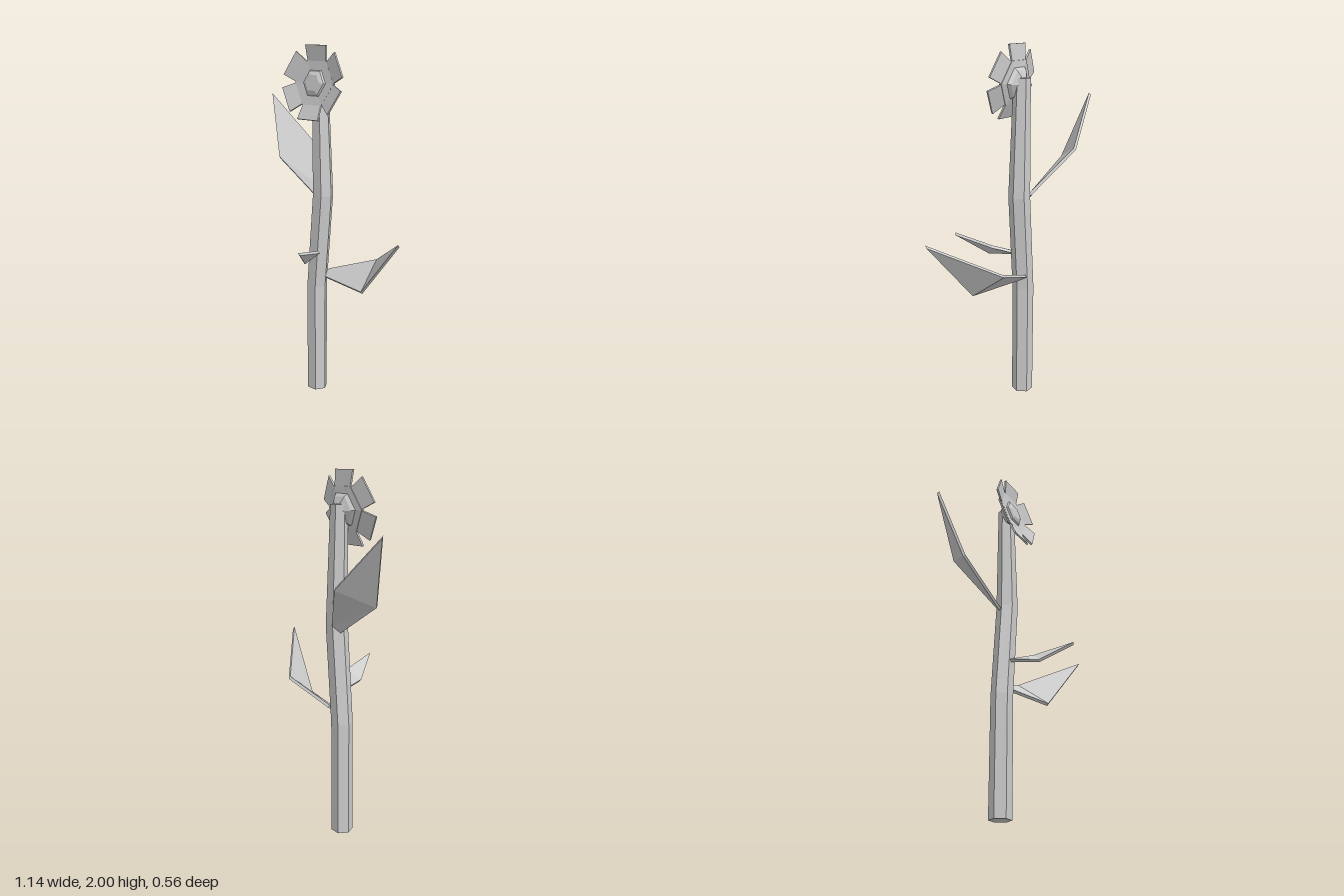
import * as THREE from 'three';

const material = new THREE.MeshStandardMaterial({ color: 0xcccccc, flatShading: true });

function addMesh(parent, name, geometry) {
  const mesh = new THREE.Mesh(geometry, material);
  mesh.name = name;
  parent.add(mesh);
  return mesh;
}

// Non-indexed geometry from triangles of Vector3 points
function fromTriangles(points) {
  const geometry = new THREE.BufferGeometry().setFromPoints(points);
  geometry.computeVertexNormals();
  return geometry;
}

// Thin solid: an outline (anticlockwise from its top side), its top triangles and an offset to the underside
function slab(outline, faces, offset) {
  const under = outline.map((p) => p.clone().add(offset));
  const points = [];
  for (const [a, b, c] of faces) {
    points.push(outline[a], outline[b], outline[c], under[a], under[c], under[b]);
  }
  outline.forEach((p, i) => {
    const j = (i + 1) % outline.length;
    points.push(p, under[i], under[j], p, under[j], outline[j]);
  });
  return fromTriangles(points);
}

// Bent six-sided stem: every ring is [height, centre x, radius]
function stemGeometry() {
  const rings = [[0, -0.1, 0.06], [0.65, -0.1, 0.06], [1.19, -0.055, 0.06], [1.83, -0.075, 0.046]];
  const geometry = new THREE.CylinderGeometry(1, 1, 3, 6, 3, false, Math.PI / 2);
  const pos = geometry.attributes.position;
  for (let i = 0; i < pos.count; i++) {
    const [y, cx, r] = rings[Math.round(pos.getY(i) + 1.5)];
    pos.setXYZ(i, cx + pos.getX(i) * r, y, -0.073 + pos.getZ(i) * r);
  }
  geometry.computeVertexNormals();
  return geometry;
}

// Leaf folded across its widest line: base pair, two side corners and a tip
function leafGeometry(baseA, sideA, tip, sideB, baseB) {
  const outline = [baseA, sideA, tip, sideB, baseB].map((p) => new THREE.Vector3(...p));
  const normal = outline[1].clone().sub(outline[0]).cross(outline[3].clone().sub(outline[0])).normalize();
  return slab(outline, [[0, 1, 3], [0, 3, 4], [1, 2, 3]], normal.multiplyScalar(-0.016));
}

// Flower head built facing +z, then tipped slightly upwards
function createFlower() {
  const flower = new THREE.Group();
  flower.name = 'flower';

  // Calyx, disc and raised centre in one six-sided profile
  const profile = [
    [0, -0.055], [0.045, -0.055], [0.08, -0.035], [0.095, -0.018], [0.135, -0.01],
    [0.135, 0.004], [0.078, 0], [0.072, 0.01], [0.048, 0.02], [0, 0.02],
  ].map(([r, y]) => new THREE.Vector2(r, y));
  const head = addMesh(flower, 'flowerHead', new THREE.LatheGeometry(profile, 6, Math.PI / 2));
  head.rotation.x = Math.PI / 2;

  // Petals flare outwards and a little forwards from each side of the disc
  const petal = slab(
    [[-0.063, 0.112, 0.002], [0.063, 0.112, 0.002], [0.073, 0.197, 0.027], [-0.073, 0.197, 0.027]]
      .map((p) => new THREE.Vector3(...p)),
    [[0, 1, 2], [0, 2, 3]],
    new THREE.Vector3(0, 0.002, -0.01),
  );
  for (let i = 0; i < 6; i++) {
    addMesh(flower, 'petal', petal).rotation.z = (i * Math.PI) / 3;
  }

  flower.position.set(-0.075, 1.805, -0.025);
  flower.rotation.x = THREE.MathUtils.degToRad(-10);
  return flower;
}

export function createModel() {
  const model = new THREE.Group();
  model.name = 'flowerPlant';
  addMesh(model, 'stem', stemGeometry());
  model.add(createFlower());

  addMesh(model, 'upperLeaf', leafGeometry(
    [-0.08, 1.21, -0.12], [-0.297, 1.445, -0.27], [-0.57, 1.715, -0.205],
    [-0.43, 1.36, -0.113], [-0.105, 1.17, -0.08],
  ));
  addMesh(model, 'lowerLeaf', leafGeometry(
    [-0.05, 0.715, -0.07], [0.283, 0.715, 0.005], [0.565, 1.05, 0.075],
    [0.25, 0.85, -0.175], [-0.05, 0.745, -0.12],
  ));
  addMesh(model, 'smallLeaf', leafGeometry(
    [-0.11, 0.85, -0.03], [-0.035, 0.845, 0.117], [0.073, 0.955, 0.275],
    [0.02, 0.905, 0.055], [-0.07, 0.865, -0.03],
  ));
  return model;
}
